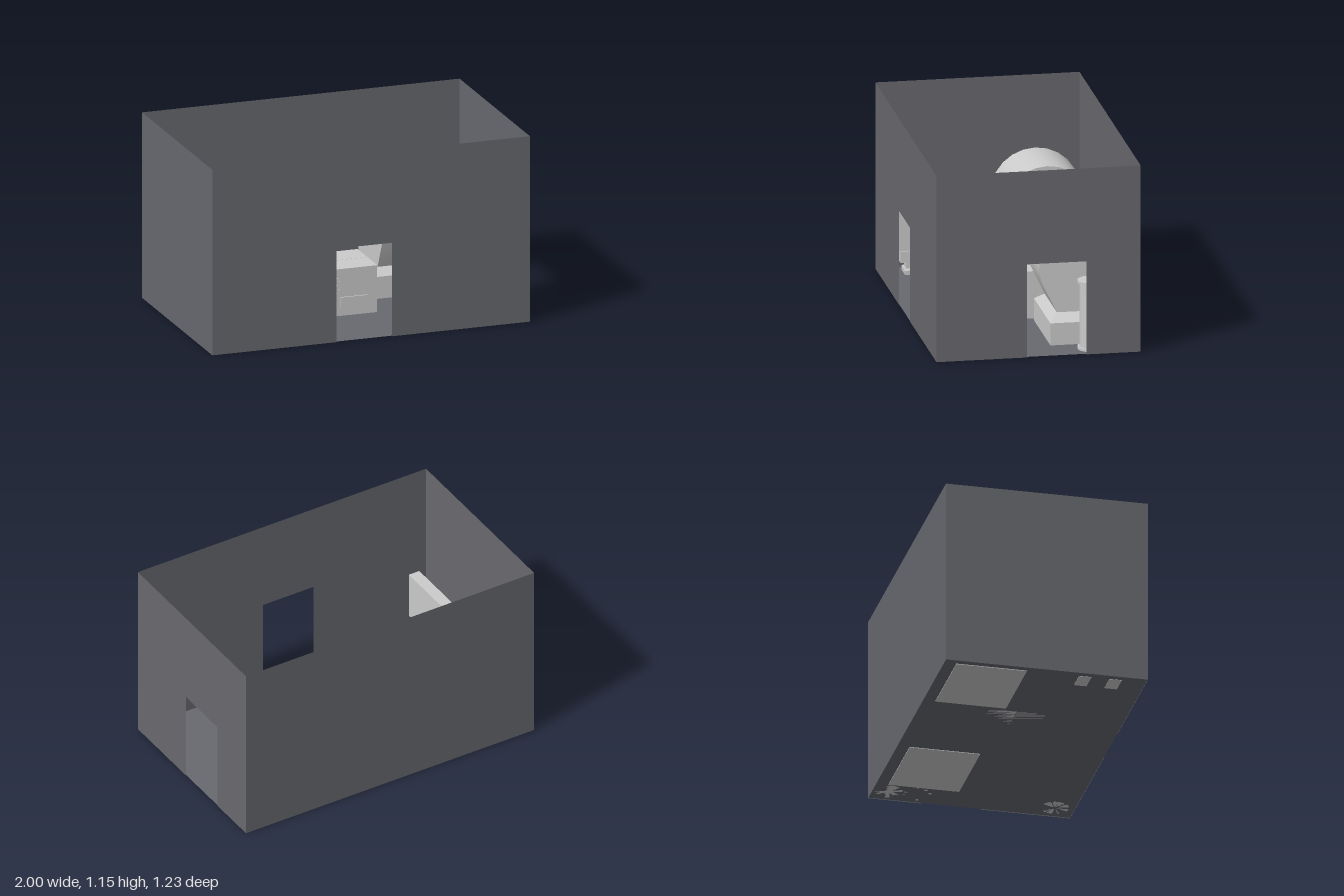
import * as THREE from 'three';
import { toCreasedNormals } from 'three/addons/utils/BufferGeometryUtils.js';

const grey = new THREE.MeshStandardMaterial({ color: 0xcccccc });
const dark = new THREE.MeshStandardMaterial({ color: 0x68696f, side: THREE.DoubleSide });

const W = 1, D = 0.615, H = 1.15, FLOOR = 0.004;
const AXIS_Y = 0.463, AXIS_Z = -0.325;

function add(parent, name, geometry, material = grey) {
  const mesh = new THREE.Mesh(geometry, material);
  mesh.name = name;
  parent.add(mesh);
  return mesh;
}

// Box given by its minimum and maximum corners
function box(parent, name, x0, x1, y0, y1, z0, z1) {
  const g = new THREE.BoxGeometry(x1 - x0, y1 - y0, z1 - z0);
  g.translate((x0 + x1) / 2, (y0 + y1) / 2, (z0 + z1) / 2);
  return add(parent, name, g);
}

// Flat wall outline, with an optional doorway cut up from the bottom edge
function wallGeometry(half, door) {
  const points = [[-half, 0]];
  if (door) points.push([door[0], 0], [door[0], door[2]], [door[1], door[2]], [door[1], 0]);
  points.push([half, 0], [half, H], [-half, H]);
  return new THREE.ShapeGeometry(new THREE.Shape(points.map(p => new THREE.Vector2(...p))));
}

function createRoom() {
  const room = new THREE.Group();
  room.name = 'room';
  add(room, 'floor', new THREE.PlaneGeometry(2 * W, 2 * D).rotateX(-Math.PI / 2).translate(0, FLOOR, 0), dark);
  add(room, 'frontWall', wallGeometry(W, [-0.22, 0.13, 0.58]).translate(0, 0, D), dark);
  add(room, 'backWall', wallGeometry(W).rotateY(Math.PI).translate(0, 0, -D), dark);
  add(room, 'leftWall', wallGeometry(D, [-0.07, 0.29, 0.575]).rotateY(Math.PI / 2).translate(W, 0, 0), dark);
  add(room, 'rightWall', wallGeometry(D).rotateY(-Math.PI / 2).translate(-W, 0, 0), dark);
  return room;
}

// Round-topped machine housing on a bevelled plinth
function createMachine(x) {
  const machine = new THREE.Group();
  machine.name = 'machine';
  machine.position.set(x, 0, AXIS_Z);

  box(machine, 'plinth', -0.27, 0.27, 0, 0.14, -0.215, 0.215);

  const bevel = new THREE.BoxGeometry(0.54, 0.046, 0.43);
  const p = bevel.attributes.position;
  for (let i = 0; i < p.count; i++) {
    if (p.getY(i) > 0) p.setXYZ(i, Math.sign(p.getX(i)) * 0.2, p.getY(i), Math.sign(p.getZ(i)) * 0.163);
  }
  bevel.computeVertexNormals();
  add(machine, 'plinthBevel', bevel.translate(0, 0.163, 0));

  const outline = [new THREE.Vector2(0.163, 0.185)];
  const steps = 14, start = -0.3, sweep = Math.PI + 0.6;
  for (let i = 0; i <= steps; i++) {
    const a = start + sweep * i / steps;
    outline.push(new THREE.Vector2(0.27 * Math.cos(a), AXIS_Y + 0.27 * Math.sin(a)));
  }
  outline.push(new THREE.Vector2(-0.163, 0.185));
  const housing = new THREE.ExtrudeGeometry(new THREE.Shape(outline), { depth: 0.4, bevelEnabled: false });
  housing.translate(0, 0, -0.2).rotateY(-Math.PI / 2);
  add(machine, 'housing', toCreasedNormals(housing, 0.5));
  return machine;
}

// Tapered shaft with a coupling disc between the two machines
function createShaft() {
  const shaft = new THREE.Group();
  shaft.name = 'driveShaft';
  shaft.position.set(0, AXIS_Y, AXIS_Z);
  const cone = (name, x0, x1, r0, r1) =>
    add(shaft, name, new THREE.CylinderGeometry(r1, r0, x1 - x0, 24)
      .rotateZ(-Math.PI / 2).translate((x0 + x1) / 2, 0, 0));
  cone('shaftRight', -0.48, -0.125, 0.08, 0.04);
  cone('couplingDisc', -0.125, -0.042, 0.13, 0.13);
  cone('shaftLeft', -0.042, 0.32, 0.04, 0.08);
  return shaft;
}

// Two cabinets back to back, with vents and a raised panel on each face
function createCabinets() {
  const cabinets = new THREE.Group();
  cabinets.name = 'cabinets';
  cabinets.position.set(-0.0825, 0, -0.033);
  for (const turn of [0, Math.PI]) {
    const half = new THREE.Group();
    half.name = 'cabinet';
    half.rotation.y = turn;
    box(half, 'cabinetBody', -0.2925, 0.2925, FLOOR, 0.288, 0.002, 0.171);
    box(half, 'cabinetTop', -0.2925, 0.2925, 0.288, 0.295, 0.001, 0.173);
    const s = turn ? -1 : 1;
    const [a, b] = [0.0625 * s, 0.2275 * s];
    box(half, 'raisedPanel', Math.min(a, b), Math.max(a, b), 0.06, 0.12, 0.17, 0.18);
    for (let i = 0; i < 5; i++) {
      const y = 0.13 + i * 0.023;
      const [c, d] = [-0.0125 * s, 0.0575 * s];
      box(half, 'vent', Math.min(c, d), Math.max(c, d), y, y + 0.018, 0.17, 0.175);
    }
    cabinets.add(half);
  }
  return cabinets;
}

// Barrel with a rim at both ends, turned from one profile
function createBarrel(x, z) {
  const profile = [[0, 0], [0.085, 0], [0.085, 0.016], [0.072, 0.016],
    [0.072, 0.408], [0.085, 0.408], [0.085, 0.424], [0, 0.424]].map(p => new THREE.Vector2(...p));
  const barrel = new THREE.Group();
  barrel.name = 'barrel';
  barrel.position.set(x, FLOOR, z);
  add(barrel, 'barrelBody', toCreasedNormals(new THREE.LatheGeometry(profile, 28), 0.6));
  return barrel;
}

// Upright board on two footed posts
function createBoard() {
  const board = new THREE.Group();
  board.name = 'standingBoard';
  box(board, 'boardPanel', -0.938, -0.865, 0.14, 0.44, 0.09, 0.59);
  box(board, 'crossBrace', -0.945, -0.855, 0.07, 0.14, 0.18, 0.49);
  for (const z of [0.245, 0.43]) {
    box(board, 'foot', -0.95, -0.82, 0.002, 0.03, z - 0.038, z + 0.038);
    box(board, 'post', -0.93, -0.87, 0.03, 0.07, z - 0.025, z + 0.025);
  }
  return board;
}

export function createModel() {
  const model = new THREE.Group();
  model.name = 'machineRoom';
  model.add(createRoom(), createShaft(), createCabinets(), createBoard());
  for (const x of [-0.68, 0.52]) model.add(createMachine(x));
  for (const [x, z] of [[0.89, -0.515], [0.89, -0.34], [0.883, 0.495]]) model.add(createBarrel(x, z));
  return model;
}
